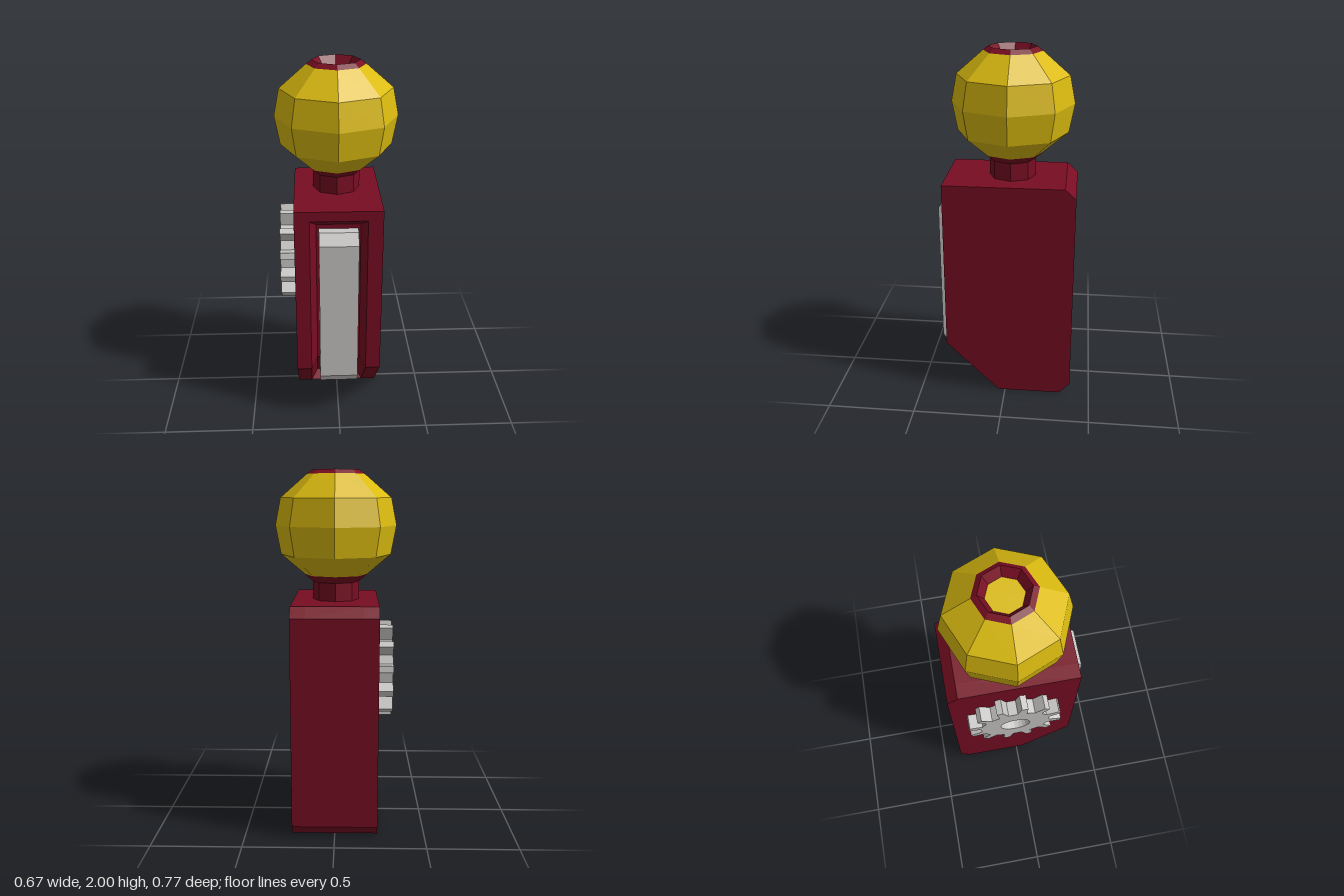
import * as THREE from 'three';

const mat = (name, color, side = THREE.FrontSide) => {
  const m = new THREE.MeshStandardMaterial({ color, flatShading: true, side });
  m.name = name;
  return m;
};

// Extrude a (z, y) outline across the model from x0 to x1
function sideExtrude(shape, x0, x1) {
  const g = new THREE.ExtrudeGeometry(shape, { depth: x1 - x0, bevelEnabled: false, curveSegments: 12 });
  g.rotateY(-Math.PI / 2);
  g.translate(x1, 0, 0);
  return g;
}
const outline = (pts) => new THREE.Shape(pts.map(([z, y]) => new THREE.Vector2(z, y)));

export function createModel() {
  const group = new THREE.Group();
  const red = mat('dark red', 0x780d22, THREE.DoubleSide);
  const gold = mat('gold', 0xdbbb10);
  const grey = mat('light grey', 0xcac8c6);
  const add = (name, geometry, material, parent = group) => {
    const mesh = new THREE.Mesh(geometry, material);
    mesh.name = name;
    parent.add(mesh);
    return mesh;
  };

  // Body: two full side slabs and a recessed centre slab between them
  const W = 0.237, S = 0.155, F = 0.12;
  const back = [[-0.325, 0], [-0.385, 0.065], [-0.385, 1.235], [-0.325, 1.29], [0.345, 1.29]];
  const rim = [[0.345, 1.235], [0.345, 0.305], [0.04, 0]];
  const floor = [[0.29, 1.195], [0.29, 0.35], [-0.03, 0.03]];
  const body = new THREE.Group();
  body.name = 'body';
  group.add(body);
  const slab = outline([...back, rim[1], rim[2]]);
  add('leftSide', sideExtrude(slab, S, W), red, body);
  add('rightSide', sideExtrude(slab, -W, -S), red, body);
  add('centre', sideExtrude(outline([...back, rim[0], ...floor, rim[2]]), -S, S), red, body);

  // Sloping side walls of the front slot
  for (const s of [1, -1]) {
    const pos = [];
    for (let i = 0; i < 2; i++) {
      const o = (k) => [s * S, rim[k][1], rim[k][0]];
      const n = (k) => [s * F, floor[k][1], floor[k][0]];
      const quad = [o(i), n(i), o(i + 1), n(i), n(i + 1), o(i + 1)];
      if (s < 0) quad.reverse();
      pos.push(...quad.flat());
    }
    const g = new THREE.BufferGeometry();
    g.setAttribute('position', new THREE.Float32BufferAttribute(pos, 3));
    g.computeVertexNormals();
    add(s > 0 ? 'slotWallLeft' : 'slotWallRight', g, red, body);
  }

  // Front bar with bevelled ends
  add('frontBar', sideExtrude(outline([
    [0.15, 0.205], [0.27, 0.205], [0.36, 0.235], [0.39, 0.285], [0.39, 1.11], [0.345, 1.17], [0.15, 1.17],
  ]), -0.106, 0.106), grey);

  // Gear on the right side
  const gear = [], teeth = 12, step = Math.PI * 2 / teeth;
  for (let i = 0; i < teeth; i++) {
    const a = THREE.MathUtils.degToRad(78.75) + i * step;
    for (const [r, d] of [[0.2, -7.5], [0.272, -3.75], [0.272, 3.75], [0.2, 7.5]]) {
      const t = a + THREE.MathUtils.degToRad(d);
      gear.push([r * Math.cos(t) - 0.027, r * Math.sin(t) + 0.89]);
    }
  }
  const gearShape = outline(gear);
  gearShape.holes.push(new THREE.Path().absarc(-0.027, 0.89, 0.085, 0, Math.PI * 2, true));
  add('gear', sideExtrude(gearShape, -0.32, -0.235), grey);

  // Neck and eight-sided ball knob
  const knob = new THREE.Group();
  knob.name = 'knob';
  knob.position.z = -0.022;
  group.add(knob);
  const lathe = (name, pts, material) =>
    add(name, new THREE.LatheGeometry(pts.map(([r, y]) => new THREE.Vector2(r, y)), 8), material, knob);
  lathe('neck', [[0.13, 1.28], [0.13, 1.39], [0.177, 1.43]], red);
  lathe('ball', [[0.177, 1.43], [0.307, 1.54], [0.337, 1.7], [0.307, 1.85], [0.16, 1.977]], gold);
  lathe('topRing', [[0.16, 1.977], [0.13, 2], [0.096, 1.95]], red);
  lathe('topInset', [[0.096, 1.95], [0, 1.95]], gold);

  return group;
}
